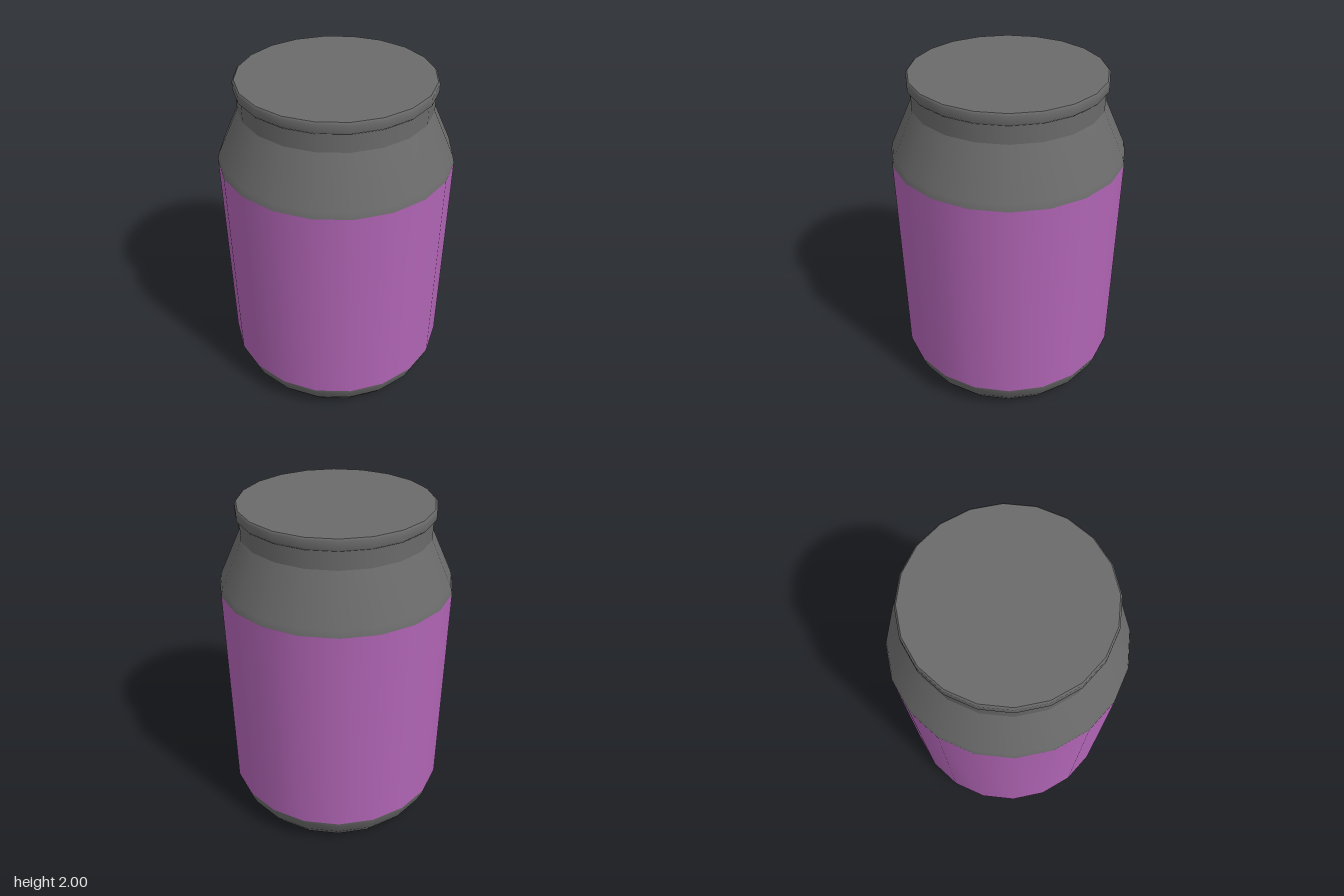
import * as THREE from 'three';

const SIDES = 20;
const metal = new THREE.MeshStandardMaterial({ color: 0x6a6a6a });
const purple = new THREE.MeshStandardMaterial({ color: 0xb064b4 });

// Revolves a profile of [radius, height] points, listed from bottom to top
function turned(name, profile, material) {
  const points = profile.map(([r, y]) => new THREE.Vector2(r, y));
  const mesh = new THREE.Mesh(new THREE.LatheGeometry(points, SIDES), material);
  mesh.name = name;
  return mesh;
}

export function createModel() {
  const can = new THREE.Group();
  can.name = 'can';

  // Body: flat bottom, rounded foot, coloured band, sloping shoulder and neck
  can.add(
    turned('bottom', [[0, 0], [0.52, 0]], metal),
    turned('foot', [[0.52, 0], [0.595, 0.03], [0.645, 0.1], [0.675, 0.175], [0.68, 0.2]], metal),
    turned('band', [[0.68, 0.2], [0.68, 1.52]], purple),
    turned('shoulder', [[0.68, 1.52], [0.67, 1.56], [0.545, 1.83]], metal),
    turned('neck', [[0.545, 1.83], [0.545, 1.94]], metal),
  );

  // Lid: overhanging rim with small bevels and a flat top
  const lid = new THREE.Group();
  lid.name = 'lid';
  lid.add(
    turned('lidUnderside', [[0.53, 1.935], [0.55, 1.935]], metal),
    turned('lidRim', [[0.55, 1.935], [0.56, 1.945], [0.56, 1.99], [0.55, 2]], metal),
    turned('lidTop', [[0.55, 2], [0, 2]], metal),
  );
  can.add(lid);
  return can;
}
